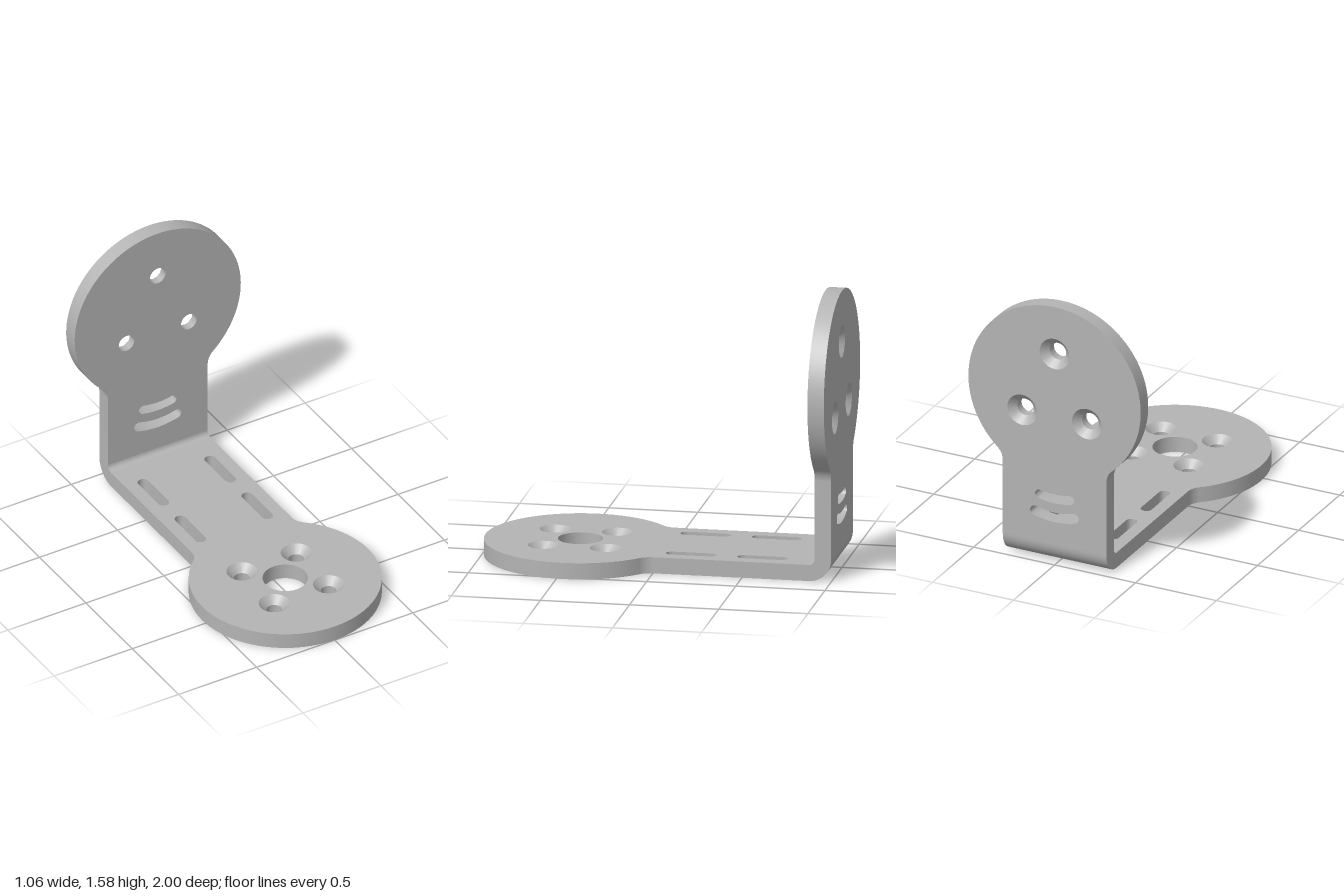
import * as THREE from 'three';
import { mergeGeometries, toCreasedNormals } from 'three/addons/utils/BufferGeometryUtils.js';

const T = 0.092;          // sheet thickness
const HALF = 0.32;        // half width of the arms
const DISC = 0.532;       // radius of the round ends
const FILLET = 0.1;       // neck between arm and disc
const BEND = 0.125;       // outer radius of the bend
const PI = Math.PI;

// Points of an arc, from angle a0 to a1
function arc(cx, cy, r, a0, a1, n = 12) {
  return Array.from({ length: n + 1 }, (_, i) => {
    const a = a0 + (a1 - a0) * i / n;
    return new THREE.Vector2(cx + r * Math.cos(a), cy + r * Math.sin(a));
  });
}
const circle = (x, y, r) => arc(x, y, r, 0, 2 * PI, 40);

// Straight slot along v, counter-clockwise
const slot = (x, v0, v1, w) => [
  ...arc(x, v1 - w, w, 0, PI), ...arc(x, v0 + w, w, PI, 2 * PI), new THREE.Vector2(x + w, v1 - w)];

// Slot curved like a smile, lowest point of its centre line at (0, v)
function curvedSlot(v, r, reach, w) {
  const a = Math.asin(reach / r), cy = v + r;
  const a0 = -PI / 2 - a, a1 = -PI / 2 + a;
  const pts = [
    ...arc(0, cy, r + w, a0, a1, 16),
    ...arc(r * Math.cos(a1), cy + r * Math.sin(a1), w, a1, a1 + PI),
    ...arc(0, cy, r - w, a1, a0, 16),
    ...arc(r * Math.cos(a0), cy + r * Math.sin(a0), w, a0 + PI, a0 + 2 * PI)];
  return [...pts, pts[0].clone()];
}

// Strip of quads between two rows of 3D points
function loft(a, b) {
  const pos = [];
  for (let i = 0; i < a.length - 1; i++) {
    for (const p of [a[i], a[i + 1], b[i + 1], a[i], b[i + 1], b[i]]) pos.push(p.x, p.y, p.z);
  }
  const g = new THREE.BufferGeometry();
  g.setAttribute('position', new THREE.Float32BufferAttribute(pos, 3));
  return g;
}
const at = (pts, w) => pts.map(p => new THREE.Vector3(p.x, p.y, w));

// Flat face with holes at height w
function face(outline, holes, w, flip) {
  const shape = new THREE.Shape(outline);
  shape.holes = holes.map(h => new THREE.Path(h));
  const g = new THREE.ShapeGeometry(shape).toNonIndexed();
  g.deleteAttribute('uv');
  g.deleteAttribute('normal');
  if (flip) g.rotateY(PI).scale(1, 1, 1);
  g.translate(0, 0, w);
  return g;
}

function finish(parts) {
  parts.forEach(g => g.deleteAttribute('normal'));
  return toCreasedNormals(mergeGeometries(parts), 0.6);
}

// Keyhole-shaped plate; sinks are [x, v, innerRadius, outerRadius], widest at w = T
function plate(centre, cuts, sinks) {
  const off = HALF + FILLET;
  const dy = Math.sqrt((DISC + FILLET) ** 2 - off ** 2);
  const neck = centre - dy, a = Math.atan2(dy, off);
  const outline = [
    new THREE.Vector2(HALF, BEND_START(centre)),
    ...arc(off, neck, FILLET, PI, PI - a),
    ...arc(0, centre, DISC, -a, PI + a, 96),
    ...arc(-off, neck, FILLET, a, 0),
    new THREE.Vector2(-HALF, BEND_START(centre))];
  const small = sinks.map(([x, v, r]) => circle(x, v, r));
  const large = sinks.map(([x, v, , r]) => circle(x, v, r));
  const mirrored = pts => pts.map(p => new THREE.Vector2(-p.x, p.y));
  const parts = [
    face(outline, [...cuts, ...large], T, false),
    face(mirrored(outline), [...cuts, ...small].map(mirrored), 0, true),
    loft(at(outline, 0), at(outline, T))];
  for (const c of cuts) {
    const r = [...c].reverse();
    parts.push(loft(at(r, 0), at(r, T)));
  }
  // countersunk bores: straight wall, then a cone
  sinks.forEach(([, , r0, r1], i) => {
    const s = small[i].reverse(), l = large[i].reverse(), mid = T - (r1 - r0);
    parts.push(loft(at(s, 0), at(s, mid)), loft(at(s, mid), at(l, T)));
  });
  return finish(parts);
}
// The upright arm starts above the bend, the base arm in front of it
function BEND_START(centre) {
  return centre > 1 ? BEND : -1 + BEND;
}

// Quarter-round bend joining the two arms
function bend() {
  const row = (r, x) => Array.from({ length: 17 }, (_, i) => {
    const t = i / 16 * PI / 2;
    return new THREE.Vector3(x, BEND - r * Math.cos(t), -1 + BEND - r * Math.sin(t));
  });
  const R = BEND, r = BEND - T;
  return finish([
    loft(row(R, -HALF), row(R, HALF)), loft(row(r, HALF), row(r, -HALF)),
    loft(row(R, HALF), row(r, HALF)), loft(row(r, -HALF), row(R, -HALF))]);
}

export function createModel() {
  const model = new THREE.Group();
  model.name = 'angleBracket';
  const metal = new THREE.MeshStandardMaterial({ color: 0xb4b4b4 });
  metal.name = 'greyMetal';
  const add = (name, geometry) => {
    const mesh = new THREE.Mesh(geometry, metal);
    mesh.name = name;
    model.add(mesh);
    return mesh;
  };

  // Base: centre bore, four countersunk holes, four slots
  const cz = 0.467, cuts = [circle(0, cz, 0.125)], baseSinks = [];
  for (const s of [-1, 1]) {
    cuts.push(slot(s * 0.214, -0.735, -0.455, 0.032), slot(s * 0.214, -0.335, -0.055, 0.032));
    for (const t of [-1, 1]) baseSinks.push([s * 0.174, cz + t * 0.174, 0.043, 0.086]);
  }
  add('basePlate', plate(cz, cuts, baseSinks)).rotation.set(-PI / 2, 0, PI);

  // Upright: three holes countersunk from behind, two curved slots
  const upright = add('uprightPlate', plate(1.045,
    [curvedSlot(0.404, 0.43, 0.093, 0.027), curvedSlot(0.291, 0.43, 0.122, 0.029)],
    [[0, 1.29, 0.05, 0.092], [-0.2, 0.905, 0.05, 0.092], [0.2, 0.905, 0.05, 0.092]]));
  upright.rotation.y = PI;
  upright.position.z = -1 + T;

  add('bend', bend());
  return model;
}
